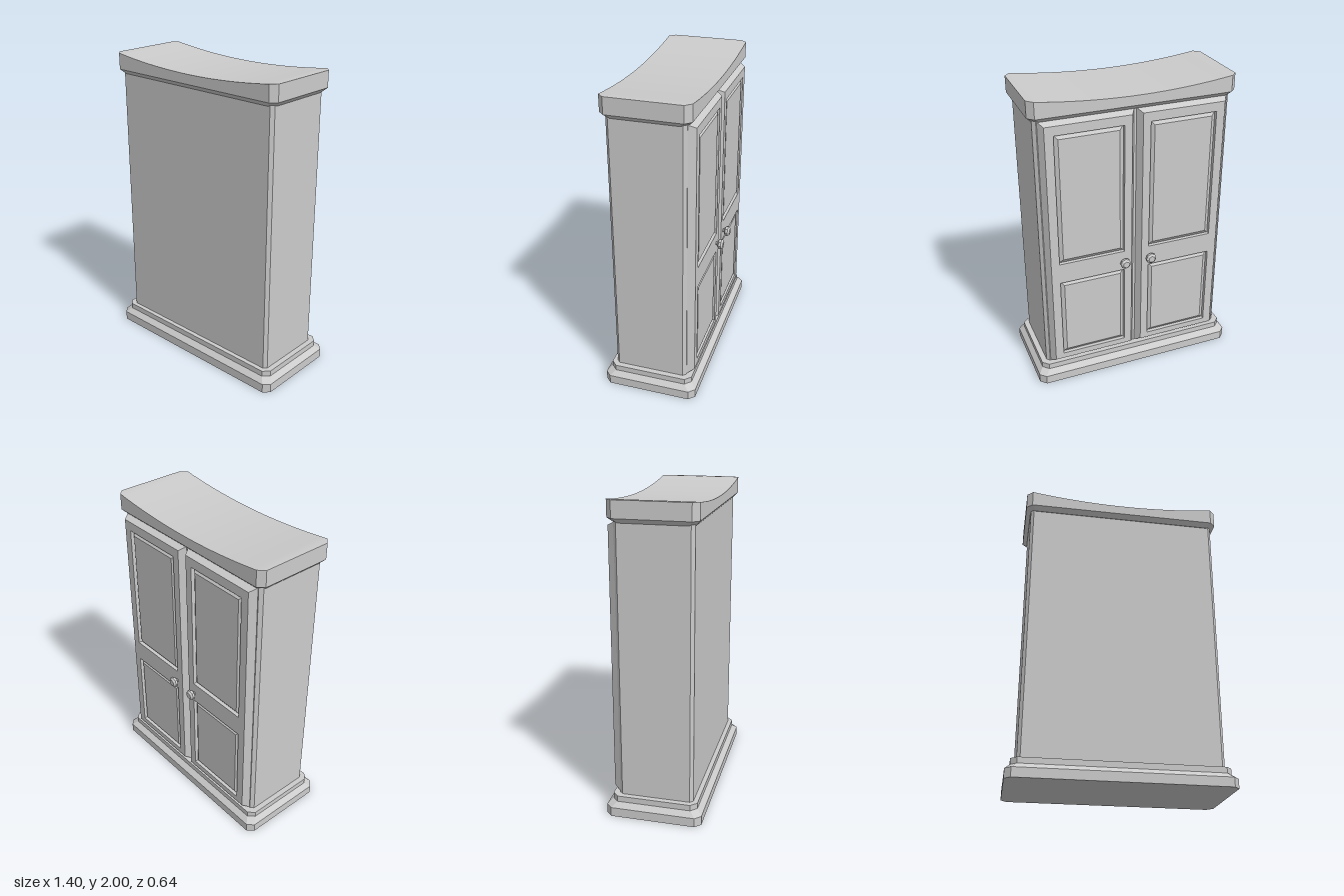
import * as THREE from 'three';
import { toCreasedNormals } from 'three/addons/utils/BufferGeometryUtils.js';

const grey = new THREE.MeshStandardMaterial({ color: 0xcccccc });
const faceted = new THREE.MeshStandardMaterial({ color: 0xcccccc, flatShading: true });

// Skin over rings of points (counter-clockwise seen from the far end), with optional end caps
function loft(rings, caps = true) {
  const pos = [];
  const tri = (a, b, c) => pos.push(...a, ...b, ...c);
  const n = rings[0].length;
  for (let i = 0; i < rings.length - 1; i++) {
    for (let j = 0; j < n; j++) {
      const k = (j + 1) % n, a = rings[i], b = rings[i + 1];
      tri(a[j], a[k], b[k]);
      tri(a[j], b[k], b[j]);
    }
  }
  if (caps) {
    const first = rings[0], last = rings[rings.length - 1];
    for (let j = 1; j < n - 1; j++) {
      tri(first[0], first[j + 1], first[j]);
      tri(last[0], last[j], last[j + 1]);
    }
  }
  const g = new THREE.BufferGeometry();
  g.setAttribute('position', new THREE.Float32BufferAttribute(pos, 3));
  return toCreasedNormals(g, 0.35);
}

// Horizontal rectangle ring at height y, corners cut by c
function rect(y, x0, x1, z0, z1, c = 0) {
  if (!c) return [[x1, y, z1], [x1, y, z0], [x0, y, z0], [x0, y, z1]];
  return [[x1, y, z1 - c], [x1, y, z0 + c], [x1 - c, y, z0], [x0 + c, y, z0],
    [x0, y, z0 + c], [x0, y, z1 - c], [x0 + c, y, z1], [x1 - c, y, z1]];
}

function add(parent, name, geometry, material = grey) {
  const m = new THREE.Mesh(geometry, material);
  m.name = name;
  parent.add(m);
  return m;
}

// One door on the -z side; s = 1 for +x, -1 for -x
function makeDoor(s) {
  const door = new THREE.Group();
  door.name = s > 0 ? 'leftDoor' : 'rightDoor';
  const span = (a, b) => (s > 0 ? [a, b] : [-b, -a]);
  const toBack = (g) => g.rotateX(-Math.PI / 2); // local y becomes -z, local z becomes y
  const [r0, r1] = span(0.005, 0.61), [f0, f1] = span(0.035, 0.58), [p0, p1] = span(0.085, 0.525);
  const panels = [[0.2, 0.77], [0.91, 1.785]];

  // bevelled outer edge
  add(door, 'doorEdge', toBack(loft([
    rect(0.22, r0, r1, 0.13, 1.87), rect(0.27, f0, f1, 0.16, 1.845)], false)));

  // stiles and rails
  const box = (P, x0, x1, y0, y1) => new P([[x0, y0], [x1, y0], [x1, y1], [x0, y1]]
    .map(([x, y]) => new THREE.Vector2(x, y)));
  const shape = box(THREE.Shape, f0, f1, 0.16, 1.845);
  for (const [y0, y1] of panels) shape.holes.push(box(THREE.Path, p0, p1, y0, y1));
  const frame = new THREE.ExtrudeGeometry(shape, { depth: 0.04, bevelEnabled: false });
  add(door, 'doorFrame', frame.translate(0, 0, -0.27));

  // raised panels
  for (const [y0, y1] of panels) {
    const e = 0.028;
    add(door, 'doorPanel', toBack(loft([
      rect(0.22, p0, p1, y0, y1), rect(0.245, p0, p1, y0, y1),
      rect(0.265, p0 + e, p1 - e, y0 + e, y1 - e)])));
  }

  // knob
  const profile = [[0.012, -0.02], [0.012, 0.012], [0.022, 0.012], [0.035, 0.022],
    [0.035, 0.038], [0.022, 0.05], [0, 0.05]].map(([r, y]) => new THREE.Vector2(r, y));
  const knob = add(door, 'knob', toBack(new THREE.LatheGeometry(profile, 8)), faceted);
  knob.position.set(s * 0.09, 0.835, -0.27);
  return door;
}

export function createModel() {
  const model = new THREE.Group();
  model.name = 'wardrobe';

  // stepped plinth
  add(model, 'plinth', loft([
    rect(0, -0.7, 0.7, -0.3, 0.318, 0.038), rect(0.06, -0.7, 0.7, -0.3, 0.318, 0.038),
    rect(0.092, -0.668, 0.668, -0.265, 0.285, 0.038), rect(0.13, -0.668, 0.668, -0.265, 0.285, 0.038)]));

  // cabinet body
  add(model, 'body', loft([
    rect(0.12, -0.632, 0.632, -0.225, 0.255, 0.02), rect(1.88, -0.632, 0.632, -0.225, 0.255, 0.02)]));

  // cornice: bevelled underside, then a block with a dished top
  add(model, 'corniceBevel', loft([
    rect(1.866, -0.635, 0.635, -0.23, 0.258, 0.038),
    rect(1.895, -0.664, 0.664, -0.26, 0.285, 0.038)]));
  const slice = (x, y, cut) => [[x, 1.895, -0.26 + cut], [x, y, -0.26 + cut],
    [x, y, 0.285 - cut], [x, 1.895, 0.285 - cut]];
  const slices = [slice(-0.664, 2, 0.038)];
  const steps = 24, half = 0.626;
  for (let i = 0; i <= steps; i++) {
    const t = (2 * i) / steps - 1;
    slices.push(slice(t * half, 1.957 + 0.043 * t * t, 0));
  }
  slices.push(slice(0.664, 2, 0.038));
  add(model, 'cornice', loft(slices));

  for (const s of [1, -1]) model.add(makeDoor(s));
  return model;
}
